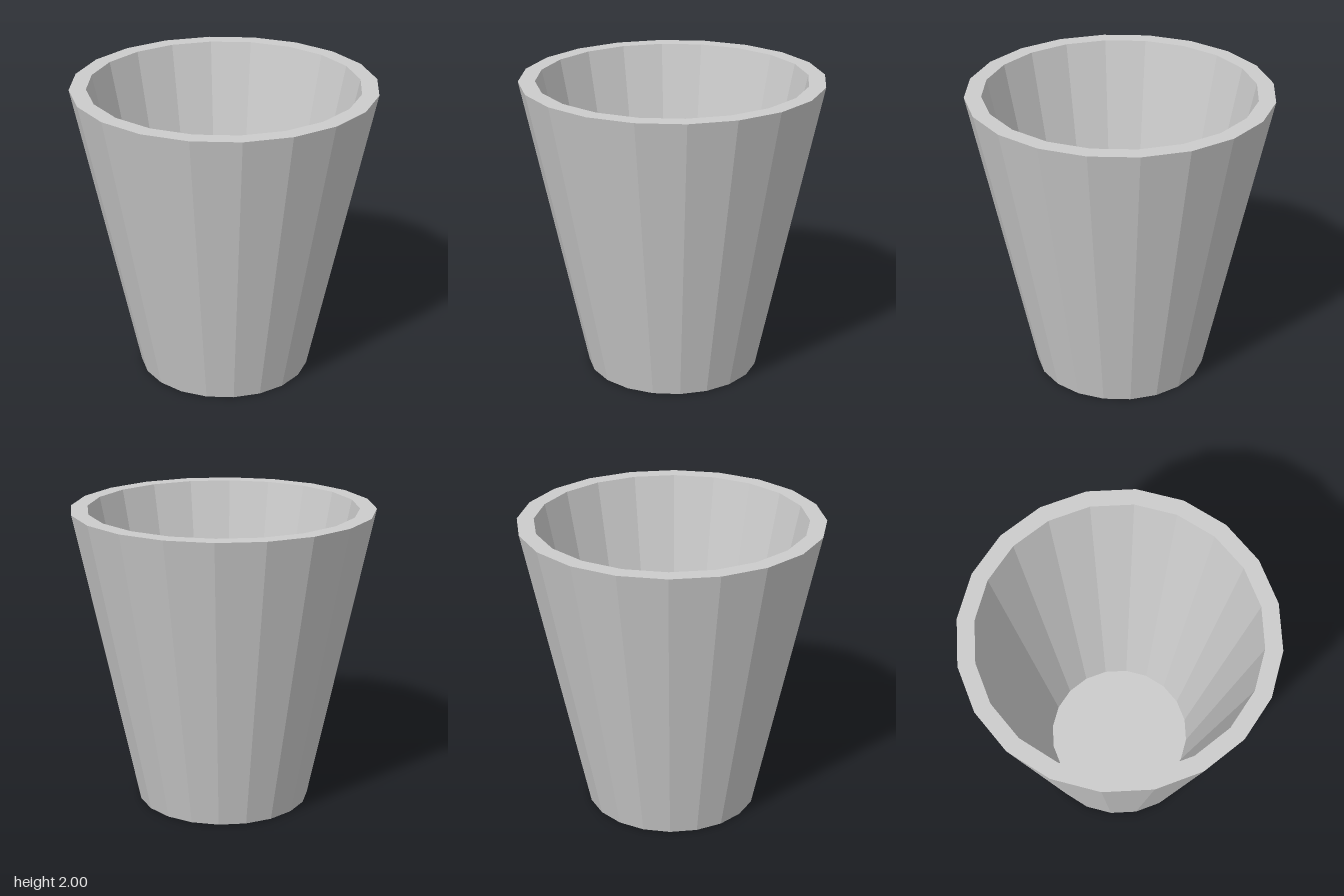
import * as THREE from 'three';

const SIDES = 20;

export function createModel() {
  const model = new THREE.Group();
  model.name = 'cup';

  // Closed wall profile: underside, outer wall, rim, inner wall, inside floor
  const profile = [
    [0, 0],
    [0.58, 0],
    [1, 2],
    [0.89, 2],
    [0.49, 0.1],
    [0, 0.1],
  ].map(([r, y]) => new THREE.Vector2(r, y));

  const material = new THREE.MeshStandardMaterial({ color: 0xcccccc, flatShading: true });
  const body = new THREE.Mesh(new THREE.LatheGeometry(profile, SIDES), material);
  body.name = 'cupBody';
  model.add(body);

  return model;
}
